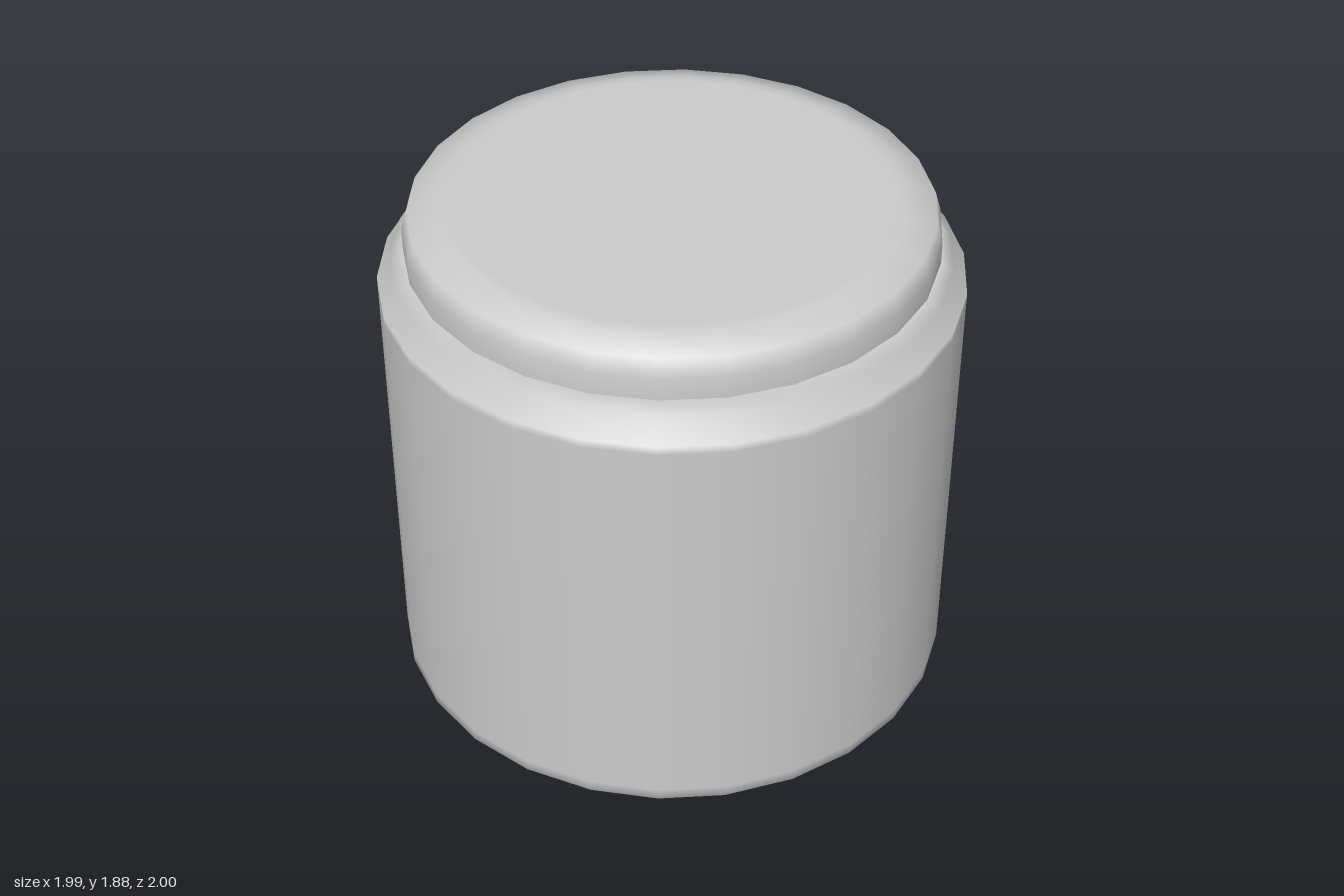
import * as THREE from 'three';

const SIDES = 26;
const material = new THREE.MeshStandardMaterial({ color: 0xcccccc });

// Turns a [radius, height] profile, listed bottom to top, into a named mesh
function turned(name, profile) {
  const points = profile.map(([r, y]) => new THREE.Vector2(r, y));
  const mesh = new THREE.Mesh(new THREE.LatheGeometry(points, SIDES), material);
  mesh.name = name;
  return mesh;
}

export function createModel() {
  const jar = new THREE.Group();
  jar.name = 'jar';

  // Body: bevelled foot, straight wall, sloped shoulder and short neck;
  // the close-set rings keep the flat areas flat under smooth shading
  jar.add(turned('body', [
    [0, 0], [0.93, 0], [0.955, 0], [1, 0.05], [1, 0.09],
    [1, 1.57], [1, 1.6], [0.95, 1.64], [0.95, 1.68], [0.91, 1.71], [0, 1.71],
  ]));

  // Lid: straight rim with a rounded shoulder and flat top
  jar.add(turned('lid', [
    [0.905, 1.71], [0.905, 1.79], [0.885, 1.855], [0.785, 1.885], [0.75, 1.885], [0, 1.885],
  ]));

  return jar;
}
